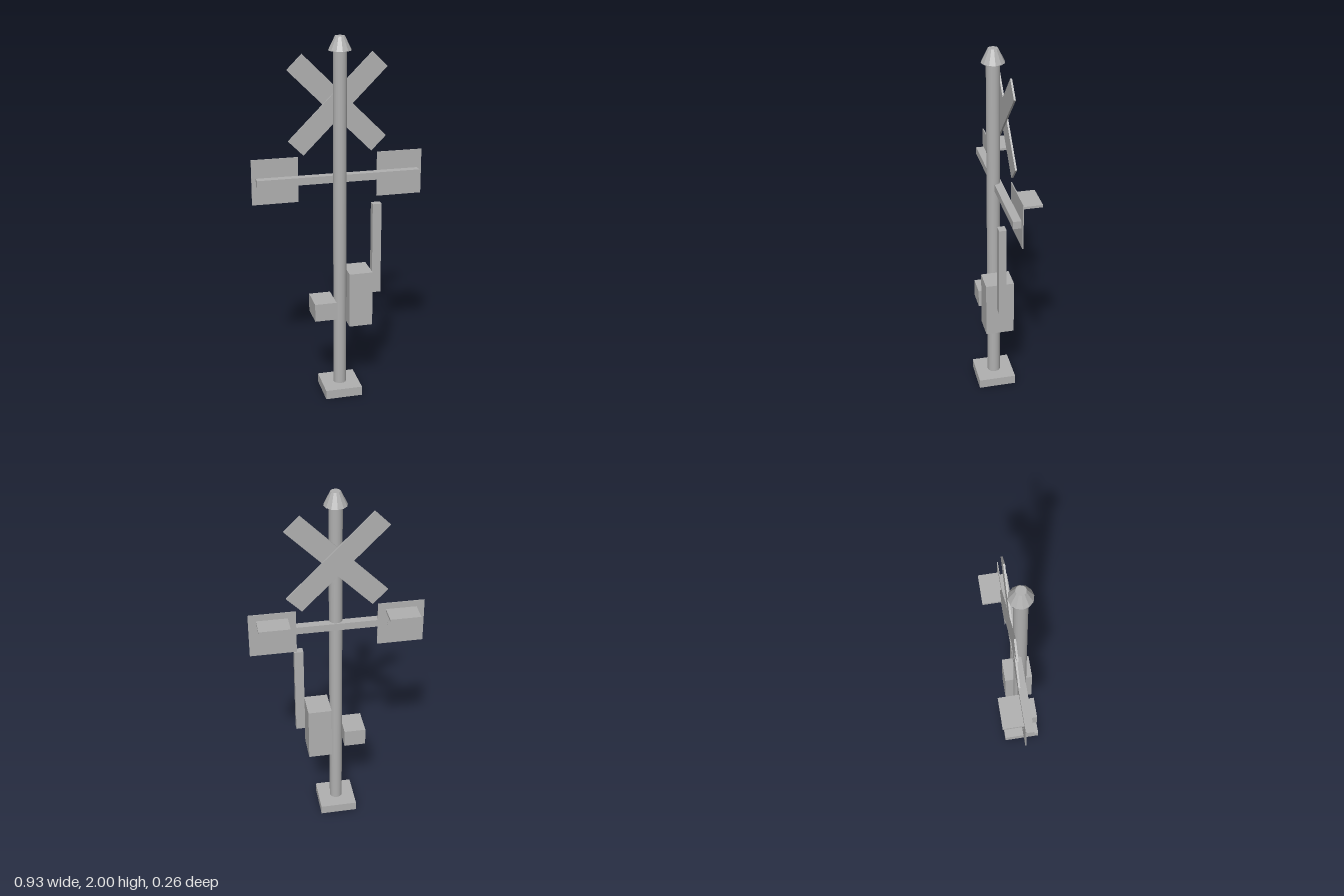
import * as THREE from 'three';

export function createModel() {
  const model = new THREE.Group();
  model.name = 'crossingSignal';

  const grey = new THREE.MeshStandardMaterial({ color: 0xb0b0b0 });
  grey.name = 'plain grey';

  const add = (name, geometry, x, y, z) => {
    const mesh = new THREE.Mesh(geometry, grey);
    mesh.name = name;
    mesh.position.set(x, y, z);
    model.add(mesh);
    return mesh;
  };

  // Box given by its extents along each axis
  const box = (name, [x0, x1], [y0, y1], [z0, z1]) =>
    add(name, new THREE.BoxGeometry(x1 - x0, y1 - y0, z1 - z0),
      (x0 + x1) / 2, (y0 + y1) / 2, (z0 + z1) / 2);

  // Faceted round part with flat sides
  const faceted = (rTop, rBottom, height, sides) => {
    const g = new THREE.CylinderGeometry(rTop, rBottom, height, sides).toNonIndexed();
    g.computeVertexNormals();
    return g;
  };

  const poleZ = 0.025;

  // Footing, pole and tapered cap
  box('base', [-0.103, 0.103], [0, 0.052], [poleZ - 0.104, poleZ + 0.104]);
  add('pole', new THREE.CylinderGeometry(0.036, 0.036, 1.88, 16), 0, 0.99, poleZ);
  add('poleCap', faceted(0.026, 0.061, 0.072, 12), 0, 1.964, poleZ);

  // Crossed boards, one behind the other
  [['crossBoardFront', 1, -0.0225], ['crossBoardBack', -1, -0.032]].forEach(([name, side, z]) => {
    const board = add(name, new THREE.BoxGeometry(0.636, 0.113, 0.0095), 0, 1.642, z);
    board.rotation.z = side * Math.PI / 4;
  });

  // Crossarm carrying the two lamps
  box('crossArm', [-0.44, 0.44], [1.23, 1.27], [-0.018, 0.025]);

  for (const side of [1, -1]) {
    const label = side > 0 ? 'left' : 'right';
    const x = side * 0.339;
    // Backing plate, round lens and visor, all facing the rear
    box(label + 'LampPlate', [x - 0.124, x + 0.124], [1.125, 1.371], [-0.023, -0.018]);
    const lens = add(label + 'LampLens',
      new THREE.CylinderGeometry(0.07, 0.07, 0.002, 32), x, 1.248, -0.0235);
    lens.rotation.x = Math.PI / 2;
    box(label + 'LampVisor', [x - 0.082, x + 0.082], [1.323, 1.336], [-0.13, -0.023]);
  }

  // Equipment boxes and raised gate arm
  box('largeBox', [0.036, 0.165], [0.42, 0.73], [-0.052, 0.102]);
  box('smallBox', [-0.156, -0.037], [0.472, 0.572], [-0.052, 0.102]);
  box('gateArm', [0.177, 0.226], [0.587, 1.1], [0.005, 0.045]);

  return model;
}
